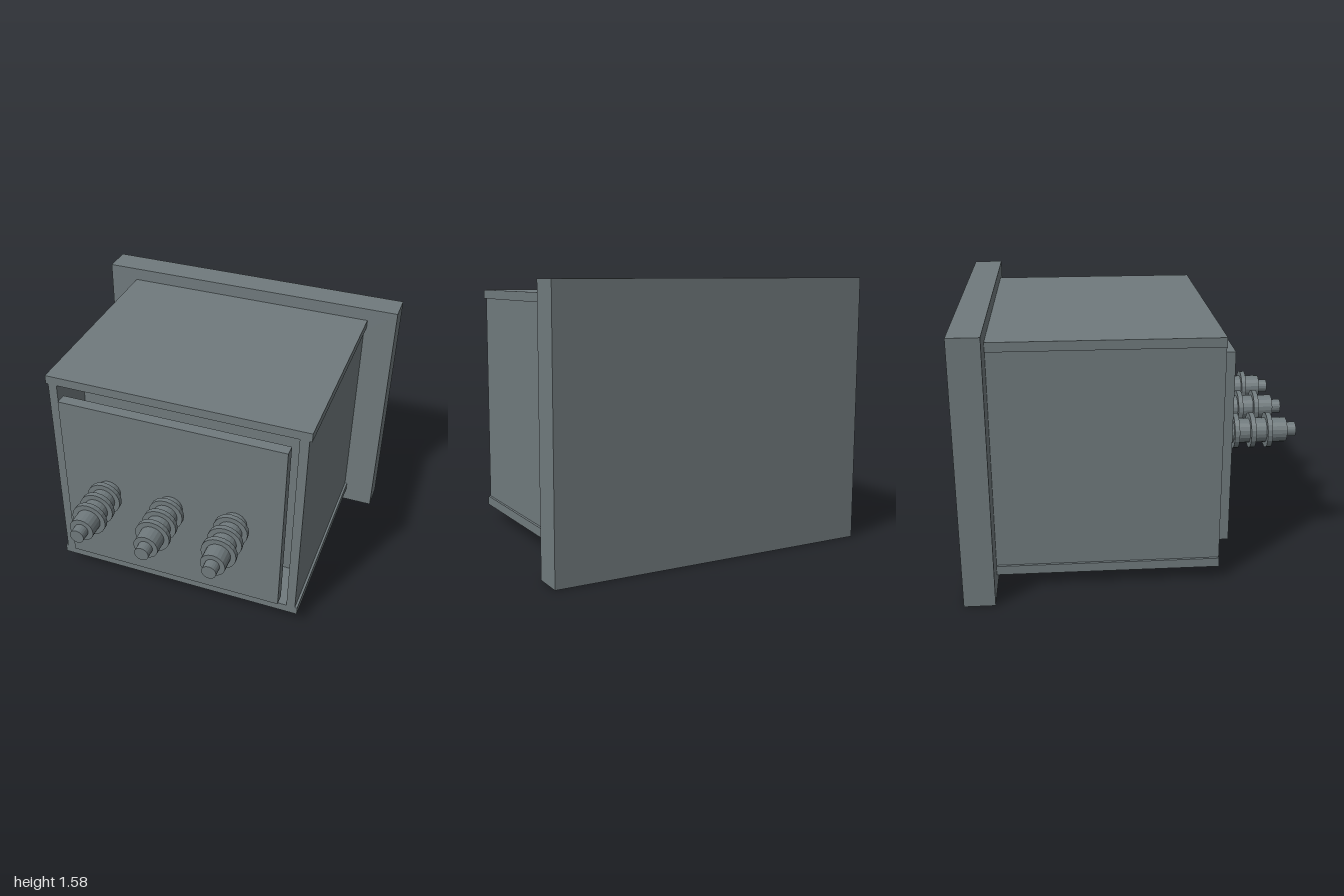
import * as THREE from 'three';

export function createModel() {
  const model = new THREE.Group();
  model.name = 'electricalEnclosure';
  const steel = new THREE.MeshStandardMaterial({ color: 0x707a7d });
  steel.name = 'grey steel';

  // Box given by its minimum and maximum corners
  function box(name, [x0, y0, z0], [x1, y1, z1]) {
    const mesh = new THREE.Mesh(new THREE.BoxGeometry(x1 - x0, y1 - y0, z1 - z0), steel);
    mesh.name = name;
    mesh.position.set((x0 + x1) / 2, (y0 + y1) / 2, (z0 + z1) / 2);
    model.add(mesh);
  }

  const back = -0.82, front = 0.49;

  // Large mounting flange at the back
  box('mountingFlange', [-0.995, 0, -1], [0.995, 1.58, back]);

  // Open-fronted housing: wider top and bottom plates, two side walls
  box('bottomPlate', [-0.81, 0.09, back], [0.81, 0.145, front]);
  box('topPlate', [-0.81, 1.445, back], [0.81, 1.5, front]);
  box('leftWall', [0.74, 0.145, back], [0.795, 1.445, front]);
  box('rightWall', [-0.795, 0.145, back], [-0.74, 1.445, front]);

  // Core set back inside the housing, and the terminal panel in front of it
  box('innerCore', [-0.74, 0.145, back], [0.74, 1.445, 0.17]);
  box('terminalPanel', [-0.7, 0.21, front], [0.7, 1.385, 0.56]);

  // Three ribbed bushings, each a stepped profile of [radius, z]
  const profile = [[0.075, 0.56]];
  for (const z of [0.63, 0.73, 0.83]) {
    profile.push([0.075, z - 0.015], [0.107, z - 0.015], [0.107, z + 0.015], [0.075, z + 0.015]);
  }
  profile.push([0.075, 0.94], [0.044, 0.94], [0.044, 1], [0, 1]);
  const lathe = new THREE.LatheGeometry(profile.map(([r, z]) => new THREE.Vector2(r, z)), 20);
  lathe.rotateX(Math.PI / 2);
  const bushingGeometry = lathe.toNonIndexed();
  bushingGeometry.computeVertexNormals();
  ['rightBushing', 'middleBushing', 'leftBushing'].forEach((name, i) => {
    const bushing = new THREE.Mesh(bushingGeometry, steel);
    bushing.name = name;
    bushing.position.set((i - 1) * 0.407, 0.795, 0);
    model.add(bushing);
  });

  return model;
}
